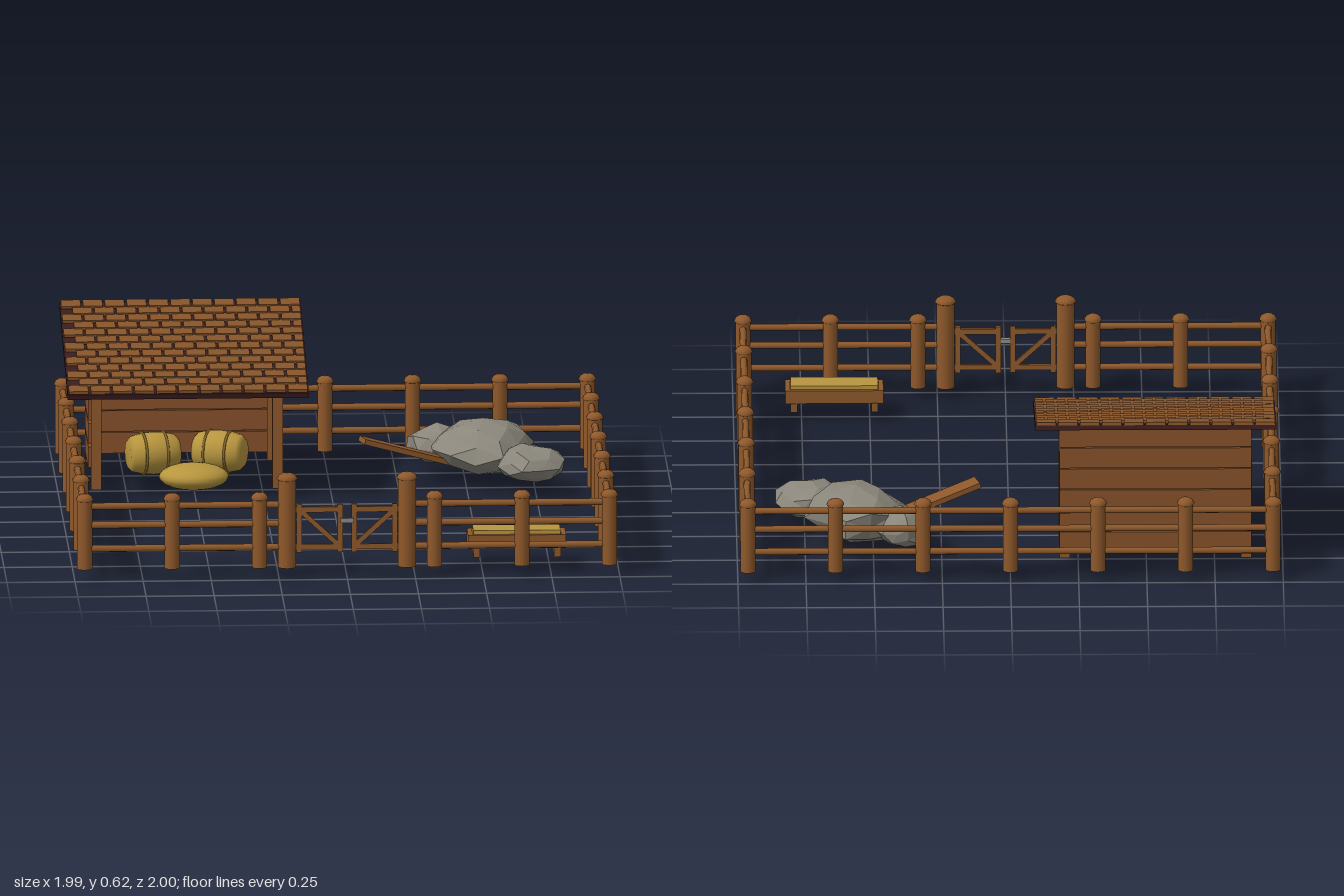
import * as THREE from 'three';
import { mergeVertices } from 'three/addons/utils/BufferGeometryUtils.js';

const paint = (name, color, extra = {}) => Object.assign(new THREE.MeshStandardMaterial({ color, ...extra }), { name });

export function createModel() {
  const model = new THREE.Group();
  const wood = paint('wood', 0x8f592b);
  const plankWood = paint('plank wood', 0x87512a);
  const shingleWood = paint('shingle wood', 0x87552b);
  const darkWood = paint('dark roof wood', 0x3a1c1c);
  const hay = paint('hay', 0xb8963f);
  const strap = paint('bale strap', 0x84682a);
  const stone = paint('stone', 0x8a867b, { flatShading: true });
  const metal = paint('metal', 0x8a8a8c);

  const group = (name, parent = model) => {
    const g = new THREE.Group();
    g.name = name;
    parent.add(g);
    return g;
  };
  const add = (parent, name, geo, mat, x = 0, y = 0, z = 0) => {
    const m = new THREE.Mesh(geo, mat);
    m.name = name;
    m.position.set(x, y, z);
    parent.add(m);
    return m;
  };
  const box = (parent, name, w, h, d, mat, x, y, z) => add(parent, name, new THREE.BoxGeometry(w, h, d), mat, x, y, z);
  const UP = new THREE.Vector3(0, 1, 0);
  // Round bar between two points
  const bar = (parent, name, a, b, r, mat = wood) => {
    const p = new THREE.Vector3(...a), q = new THREE.Vector3(...b), d = q.clone().sub(p);
    const m = add(parent, name, new THREE.CylinderGeometry(r, r, d.length(), 8), mat);
    m.position.copy(p).add(q).multiplyScalar(0.5);
    m.quaternion.setFromUnitVectors(UP, d.normalize());
    return m;
  };
  // Round post with a domed cap
  const post = (parent, name, x, z, r, top) => {
    const pts = [[0, 0.04], [r * 0.92, 0.04], [r * 0.92, 0.04], [r * 0.92, top - 0.025], [r * 0.92, top - 0.025],
      [r * 1.06, top - 0.02], [r * 0.85, top - 0.008], [r * 0.5, top - 0.001], [0, top]];
    return add(parent, name, new THREE.LatheGeometry(pts.map(p => new THREE.Vector2(...p)), 14), wood, x, 0, z);
  };

  // Fence: posts all around, three rails per side, an opening in front
  const fence = group('fence');
  const E = 0.963, Z0 = -0.005, step = E / 3;
  for (let i = -3; i <= 3; i++) {
    const p = i * step;
    post(fence, 'backPost', p, Z0 - E, 0.031, 0.32);
    if (i !== 0) post(fence, 'frontPost', p, Z0 + E, 0.031, 0.32);
    if (Math.abs(i) < 3) for (const s of [-1, 1]) post(fence, 'sidePost', s * E, Z0 + p, 0.031, 0.32);
  }
  for (const y of [0.274, 0.203, 0.115]) {
    bar(fence, 'backRail', [-E, y, Z0 - E], [E, y, Z0 - E], 0.013);
    for (const s of [-1, 1]) {
      bar(fence, 'sideRail', [s * E, y, Z0 - E], [s * E, y, Z0 + E], 0.013);
      bar(fence, 'frontRail', [s * E, y, Z0 + E], [s * 0.22, y, Z0 + E], 0.013);
    }
  }

  // Double gate
  const gate = group('gate'), gz = Z0 + E;
  for (const s of [-1, 1]) {
    post(gate, 'gatePost', s * 0.22, gz, 0.037, 0.392);
    for (const y of [0.255, 0.115]) box(gate, 'gateRail', 0.18, 0.02, 0.012, wood, s * 0.11, y, gz);
    for (const x of [0.026, 0.175]) box(gate, 'gateStile', 0.02, 0.18, 0.014, wood, s * x, 0.185, gz);
    const brace = box(gate, 'gateBrace', 0.19, 0.018, 0.01, wood, s * 0.1, 0.185, gz);
    brace.rotation.z = -s * -0.75;
  }
  box(gate, 'latch', 0.05, 0.016, 0.02, metal, 0, 0.215, gz + 0.008);

  // Shed frame and plank walls
  const shed = group('shed');
  for (const x of [-0.865, -0.2]) {
    box(shed, 'shedFrontPost', 0.038, 0.41, 0.04, wood, x, 0.245, -0.365);
    box(shed, 'shedBackPost', 0.038, 0.52, 0.038, wood, x, 0.3, -0.825);
    for (let i = 0; i < 4; i++) {
      box(shed, 'sidePlank', 0.014, 0.077, 0.26, plankWood, x + (x < -0.5 ? -0.014 : 0.014), 0.115 + i * 0.0885, -0.69);
    }
  }
  for (let i = 0; i < 6; i++) box(shed, 'backPlank', 0.705, 0.078, 0.015, plankWood, -0.5325, 0.105 + i * 0.082, -0.845);

  // Sloping roof with staggered shingles
  const roof = group('roof', shed);
  roof.position.set(-0.5325, 0.505, -0.6);
  roof.rotation.x = 0.243;
  const W = 0.885, L = 0.756, rows = 13, n = 11, w = W / n, d = L / rows;
  box(roof, 'roofBoard', W, 0.02, L, darkWood, 0, 0, 0);
  for (let r = 0; r < rows; r++) {
    const odd = r % 2;
    for (let i = 0; i < n; i++) {
      const x0 = -W / 2 + (i + odd * 0.5) * w;
      const sw = Math.min(w, W / 2 - x0) - 0.009;
      const s = box(roof, 'shingle', sw, 0.011, d * 1.12, shingleWood,
        x0 + sw / 2 + 0.0045, 0.0165, -L / 2 + (r + 0.5) * d);
      s.rotation.x = -0.09;
    }
  }

  // Strapped hay bales and a loose heap
  const bales = group('hayBales');
  const barrel = [[0, -0.095], [0.05, -0.095], [0.066, -0.08], [0.076, -0.04], [0.079, 0], [0.076, 0.04], [0.066, 0.08], [0.05, 0.095], [0, 0.095]]
    .map(p => new THREE.Vector2(...p));
  for (const [x, z, yaw] of [[-0.645, -0.63, 0.2], [-0.4, -0.65, -0.35]]) {
    const bale = group('hayBale', bales);
    bale.position.set(x, 0.113, z);
    bale.rotation.set(0, yaw, Math.PI / 2);
    add(bale, 'baleBody', new THREE.LatheGeometry(barrel, 20), hay);
    for (const y of [-0.04, 0.04]) {
      add(bale, 'baleStrap', new THREE.TorusGeometry(0.076, 0.005, 6, 24), strap, 0, y, 0).rotation.x = Math.PI / 2;
    }
  }
  const heap = add(bales, 'hayHeap', new THREE.SphereGeometry(1, 20, 12), hay, -0.5, 0.048, -0.525);
  heap.scale.set(0.128, 0.048, 0.105);

  // Feeding trough
  const trough = group('trough');
  box(trough, 'troughFloor', 0.35, 0.012, 0.11, wood, 0.63, 0.076, 0.76);
  for (const s of [-1, 1]) {
    box(trough, 'troughSide', 0.36, 0.05, 0.014, wood, 0.63, 0.095, 0.76 + s * 0.053);
    box(trough, 'troughEnd', 0.018, 0.05, 0.12, wood, 0.63 + s * 0.171, 0.095, 0.76);
    box(trough, 'troughFoot', 0.024, 0.034, 0.13, wood, 0.63 + s * 0.148, 0.055, 0.76);
  }
  box(trough, 'troughHay', 0.32, 0.045, 0.092, hay, 0.63, 0.112, 0.76);

  // Faceted boulders with a plank leaning on them
  let seed = 11;
  const rand = () => (seed = (seed * 16807) % 2147483647) / 2147483647;
  const boulder = (x, y, z, rx, ry, rz, yaw) => {
    let g = new THREE.IcosahedronGeometry(1, 1);
    g.deleteAttribute('uv');
    g.deleteAttribute('normal');
    g = mergeVertices(g, 1e-3);
    const p = g.attributes.position;
    for (let i = 0; i < p.count; i++) {
      const k = 0.85 + rand() * 0.28;
      p.setXYZ(i, p.getX(i) * k, Math.max(p.getY(i) * k, -0.75), p.getZ(i) * k);
    }
    g.computeVertexNormals();
    const m = add(rocks, 'boulder', g, stone, x, y, z);
    m.scale.set(rx, ry, rz);
    m.rotation.y = yaw;
  };
  const rocks = group('rocks');
  boulder(0.565, 0.135, -0.605, 0.185, 0.105, 0.215, 0.3);
  boulder(0.4, 0.115, -0.715, 0.1, 0.075, 0.11, 0.8);
  boulder(0.725, 0.11, -0.4, 0.125, 0.07, 0.125, 1.9);
  const lean = box(rocks, 'leaningPlank', 0.36, 0.02, 0.072, wood, 0.28, 0.14, -0.505);
  lean.rotation.set(0, 0.28, -0.3);

  return model;
}
